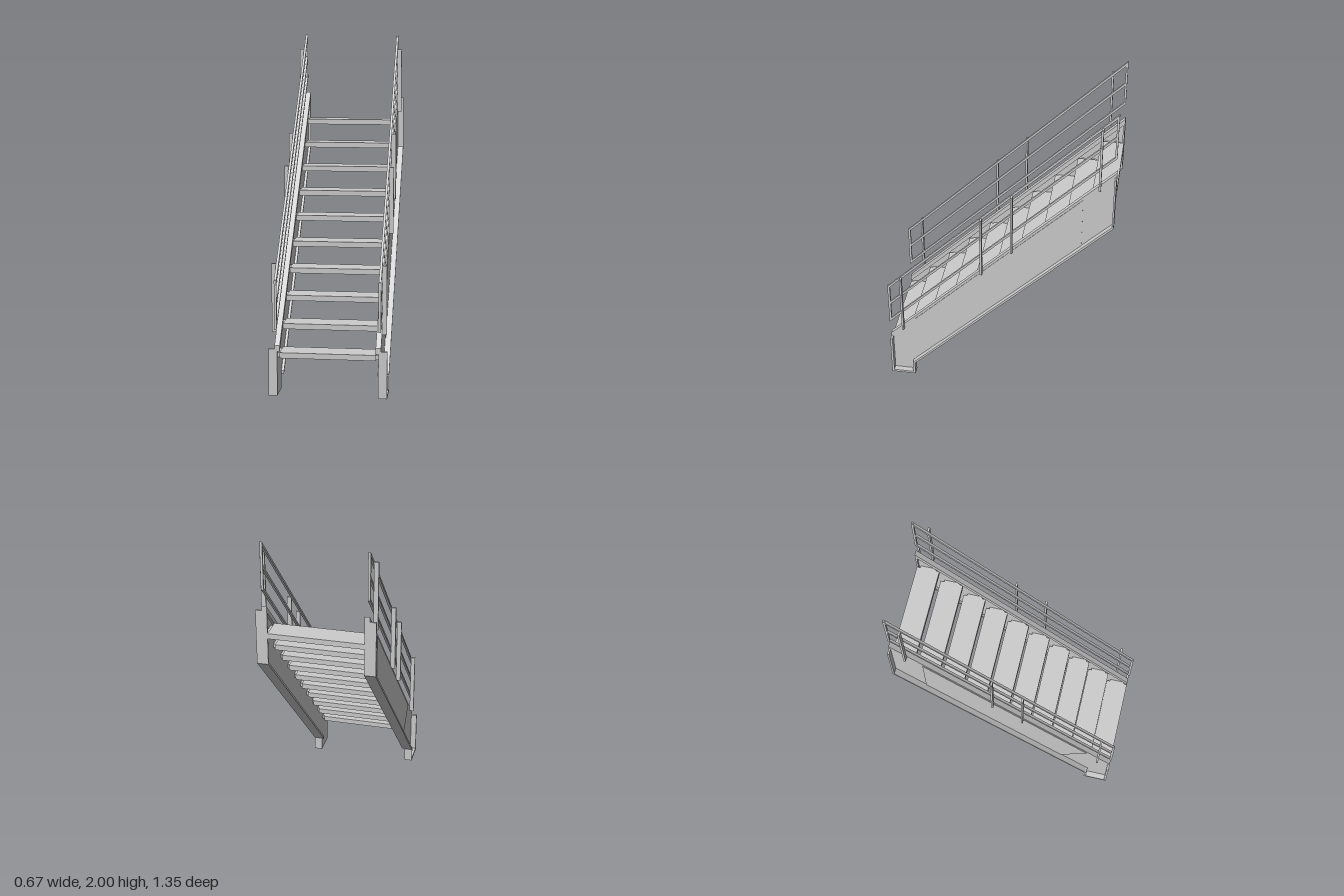
import * as THREE from 'three';

const material = new THREE.MeshStandardMaterial({ color: 0xcccccc });

// Extrudes a [z, y] outline across the span x0..x1
function slab(parent, name, x0, x1, points) {
  const shape = new THREE.Shape(points.map(([z, y]) => new THREE.Vector2(z, y)));
  const geo = new THREE.ExtrudeGeometry(shape, { depth: x1 - x0, bevelEnabled: false });
  geo.rotateY(-Math.PI / 2);
  geo.translate(x1, 0, 0);
  const mesh = new THREE.Mesh(geo, material);
  mesh.name = name;
  parent.add(mesh);
}

const rect = (z0, z1, y0, y1) => [[z0, y0], [z1, y0], [z1, y1], [z0, y1]];

// 45 degree bar whose top edge follows y = c - z, with vertical thickness t
const slope = (z0, z1, c, t) => [[z0, c - z0 - t], [z1, c - z1 - t], [z1, c - z1], [z0, c - z0]];

const FRONT = 0.67, BACK = -0.67;

function buildSide(s) {
  const side = new THREE.Group();
  side.name = s > 0 ? 'leftSide' : 'rightSide';
  const add = (name, x0, x1, pts) =>
    slab(side, name, s > 0 ? x0 : -x1, s > 0 ? x1 : -x0, pts);

  // Stringer web with its foot
  add('stringerWeb', 0.285, 0.3, [
    [FRONT, 0], [FRONT, 0.29], [BACK, 1.63], [BACK, 1.275], [0.52, 0.085], [0.52, 0],
  ]);
  // Doubler plate on the outer face
  add('stringerPlate', 0.3, 0.303, [[0.51, 0.43], [-0.49, 1.43], [-0.49, 1.1], [0.345, 0.265]]);
  // Flanges along the stringer and at its upper end
  add('bottomFlange', 0.27, 0.335, slope(BACK, 0.52, 0.623, 0.018));
  add('topFlange', 0.27, 0.285, slope(BACK, FRONT, 0.96, 0.035));
  add('endPlate', 0.27, 0.335, rect(BACK, BACK + 0.01, 1.275, 1.6));
  // Flange wrapped around the foot
  add('footFlange', 0.285, 0.335, [
    [FRONT, 0], [FRONT, 0.27], [0.656, 0.27], [0.656, 0.015],
    [0.534, 0.015], [0.534, 0.09], [0.52, 0.1], [0.52, 0],
  ]);

  // Handrail: three sloping rails, two end bars, four posts
  for (const c of [1.335, 1.205, 1.075]) {
    add('rail', 0.286, 0.3, slope(-0.665, 0.675, c, 0.018));
  }
  add('railEndBar', 0.286, 0.3, rect(0.661, 0.675, 0.4, 0.665));
  add('railEndBar', 0.286, 0.3, rect(-0.665, -0.653, 1.73, 1.99));
  for (const z of [0.587, 0.093, -0.087, -0.58]) {
    add('post', 0.3, 0.326, rect(z - 0.006, z + 0.006, 0.935 - z, 1.33 - z));
  }
  return side;
}

export function createModel() {
  const model = new THREE.Group();
  model.name = 'staircase';
  model.add(buildSide(1), buildSide(-1));

  // Folded pan treads, open underneath
  const steps = 10, run = (FRONT - BACK) / steps, rise = 0.135;
  for (let i = 0; i < steps; i++) {
    const f = FRONT - i * run, b = f - run, y = 0.25 + i * rise;
    slab(model, 'tread', -0.271, 0.271, [
      [f, y], [b, y], [b, y - 0.032], [b + 0.008, y - 0.032], [b + 0.008, y - 0.01],
      [f - 0.008, y - 0.01], [f - 0.008, y - 0.032], [f, y - 0.032],
    ]);
    // Brackets joining the tread to both stringers
    for (const s of [-1, 1]) {
      const x = s * 0.278;
      slab(model, 'treadBracket', x - 0.008, x + 0.008, rect(b + 0.02, f - 0.02, y - 0.03, y - 0.005));
    }
  }
  return model;
}
